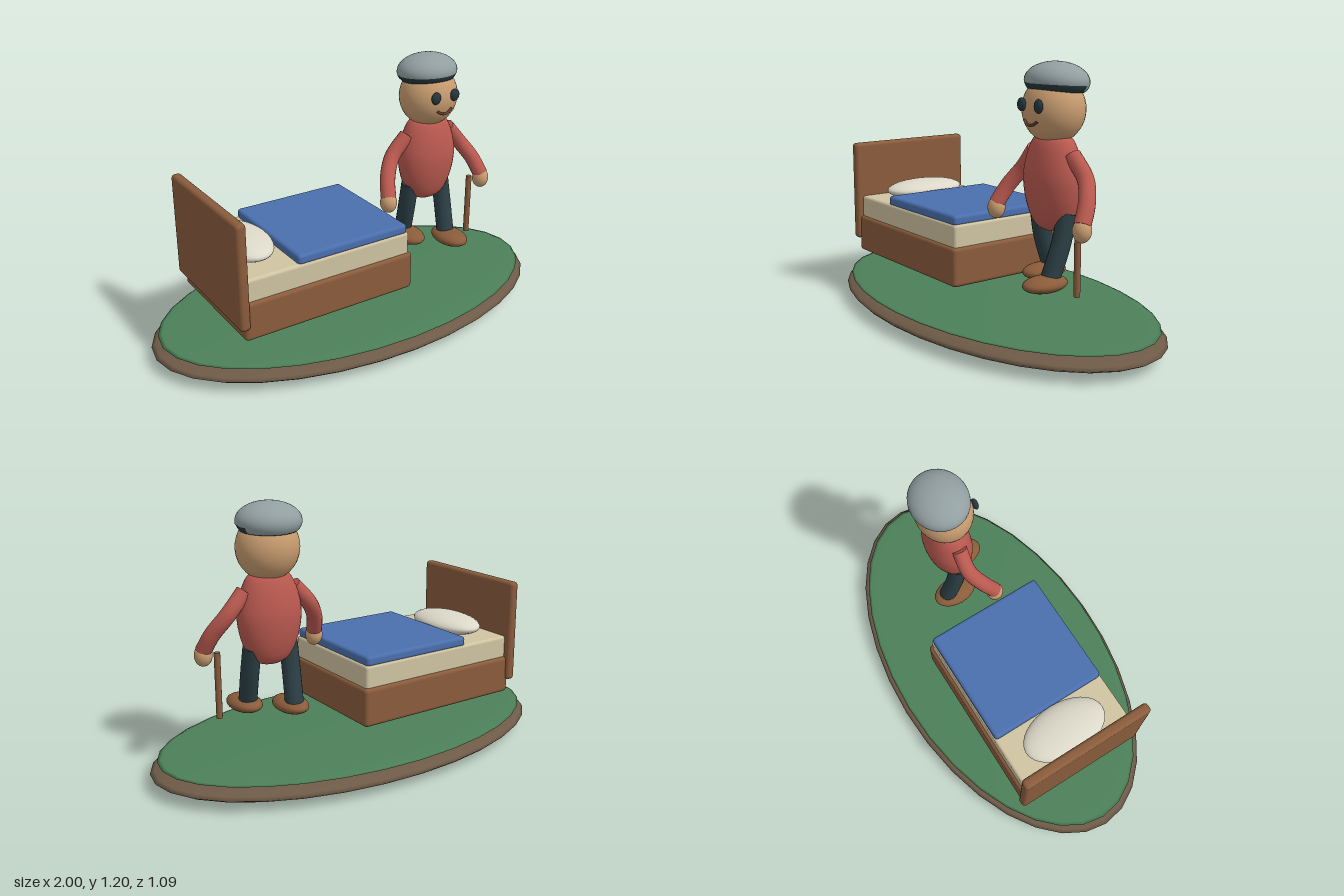
import * as THREE from 'three';
import { RoundedBoxGeometry } from 'three/addons/geometries/RoundedBoxGeometry.js';

const mat = (color, side = THREE.FrontSide) => new THREE.MeshStandardMaterial({ color, side });
const WOOD = mat(0x8a5c3c), SKIN = mat(0xc99d70), SHIRT = mat(0xbb5a50), TROUSERS = mat(0x2b3f45);
const DARK = mat(0x26373d), HAIR = mat(0x929fa1, THREE.DoubleSide), BAND = mat(0x26373d, THREE.DoubleSide);
const SHOE = mat(0x8a5c3a);

function add(parent, name, geometry, material, position = [0, 0, 0]) {
  const mesh = new THREE.Mesh(geometry, material);
  mesh.name = name;
  mesh.position.set(...position);
  parent.add(mesh);
  return mesh;
}

// Sphere stretched to three radii
function ellipsoid(parent, name, radii, position, material, w = 32, h = 20) {
  return add(parent, name, new THREE.SphereGeometry(1, w, h).scale(...radii), material, position);
}

// Rounded box given by its lower and upper corners
function block(parent, name, min, max, radius, material) {
  const size = max.map((v, i) => v - min[i]);
  const centre = max.map((v, i) => (v + min[i]) / 2);
  return add(parent, name, new RoundedBoxGeometry(...size, 3, radius), material, centre);
}

// Round limb along a smooth path, closed at both ends
function limb(parent, name, points, radius, material) {
  const group = new THREE.Group();
  group.name = name;
  const curve = new THREE.CatmullRomCurve3(points.map((p) => new THREE.Vector3(...p)));
  add(group, name + 'Tube', new THREE.TubeGeometry(curve, 20, radius, 16), material);
  for (const t of [0, 1]) {
    const end = curve.getPoint(t);
    const cap = add(group, name + 'End', new THREE.CircleGeometry(radius, 16), material, end.toArray());
    cap.lookAt(end.clone().addScaledVector(curve.getTangent(t), t ? 1 : -1));
  }
  parent.add(group);
}

function createGround() {
  const g = new THREE.Group();
  g.name = 'ground';
  ellipsoid(g, 'earth', [1, 0.057, 0.545], [0, 0.057, 0], mat(0x6e5a47), 32, 16);
  ellipsoid(g, 'grass', [0.967, 0.017, 0.525], [0, 0.107, 0], mat(0x4c8059), 32, 16);
  return g;
}

function createBed() {
  const g = new THREE.Group();
  g.name = 'bed';
  block(g, 'bedBase', [-0.715, 0.208, -0.305], [0.138, 0.387, 0.305], 0.018, WOOD);
  block(g, 'headboard', [-0.743, 0.27, -0.322], [-0.695, 0.757, 0.322], 0.018, WOOD);
  block(g, 'mattress', [-0.705, 0.37, -0.291], [0.125, 0.488, 0.291], 0.014, mat(0xd0c4a2));
  block(g, 'blanket', [-0.447, 0.48, -0.287], [0.118, 0.528, 0.287], 0.016, mat(0x4a6fae));
  ellipsoid(g, 'pillow', [0.124, 0.047, 0.207], [-0.573, 0.518, 0], mat(0xdcd8c9));
  return g;
}

function createHead() {
  const g = new THREE.Group();
  g.name = 'head';
  ellipsoid(g, 'face', [0.142, 0.145, 0.13], [0, 1.005, 0], SKIN);
  for (const s of [-1, 1]) ellipsoid(g, 'eye', [0.025, 0.029, 0.014], [s * 0.054, 1.027, 0.128], DARK, 16, 12);

  // Smile
  const smile = new THREE.QuadraticBezierCurve3(
    new THREE.Vector3(-0.042, 0.964, 0.122), new THREE.Vector3(0, 0.925, 0.135), new THREE.Vector3(0.042, 0.964, 0.122));
  add(g, 'mouth', new THREE.TubeGeometry(smile, 16, 0.006, 8), mat(0x6b4030));

  // Domed cap with a dark band below and a longer grey back
  const cap = new THREE.Group();
  cap.name = 'cap';
  cap.position.set(0, 1.12, -0.015);
  cap.rotation.x = -0.06;
  const shell = (name, scale, material, phi0, phi1, t0, t1) => add(cap, name,
    new THREE.SphereGeometry(1, 32, 12, phi0, phi1 - phi0, t0 * Math.PI, (t1 - t0) * Math.PI)
      .scale(0.146 * scale, 0.083 * scale, 0.132 * scale), material);
  shell('capDome', 1, HAIR, 0, Math.PI * 2, 0, 0.55);
  shell('capBack', 1, HAIR, Math.PI + 0.35, Math.PI * 2 - 0.35, 0.5, 0.65);
  shell('capBand', 0.985, BAND, 0, Math.PI * 2, 0.5, 0.67);
  g.add(cap);
  return g;
}

function createPerson() {
  const g = new THREE.Group();
  g.name = 'person';
  g.position.x = 0.436;
  g.add(createHead());

  // Torso, slimmer from front to back
  const profile = [[0, 0.487], [0.055, 0.495], [0.1, 0.53], [0.135, 0.61], [0.15, 0.7],
    [0.143, 0.77], [0.122, 0.84], [0.095, 0.885], [0.06, 0.898], [0, 0.902]];
  const outline = new THREE.SplineCurve(profile.map((p) => new THREE.Vector2(...p))).getPoints(30);
  outline.forEach((p) => { p.x = Math.max(p.x, 0); });
  add(g, 'torso', new THREE.LatheGeometry(outline, 32).scale(1, 1, 0.71), SHIRT);

  for (const s of [-1, 1]) {
    limb(g, 'arm', [[s * 0.12, 0.825, 0], [s * 0.2, 0.735, -0.002],
      [s * 0.255, 0.65, 0.04], [s * 0.28, 0.57, 0.085]], 0.036, SHIRT);
    ellipsoid(g, 'hand', [0.04, 0.05, 0.04], [s * 0.28, 0.55, 0.086], SKIN, 20, 14);

    // Walking stance: left foot forward, right foot back
    const ankle = s > 0 ? 0.078 : -0.068;
    limb(g, 'leg', [[s * 0.09, 0.575, -0.002], [s * 0.09, 0.45, ankle * 0.35],
      [s * 0.078, 0.295, ankle]], 0.042, TROUSERS);
    ellipsoid(g, 'shoe', [0.072, 0.036, 0.11], [s * 0.081, 0.287, s > 0 ? 0.105 : -0.027], SHOE, 24, 14);
  }
  add(g, 'walkingStick', new THREE.CylinderGeometry(0.014, 0.014, 0.3, 16), WOOD, [0.228, 0.41, 0.06]);
  return g;
}

export function createModel() {
  const model = new THREE.Group();
  model.name = 'bedsideScene';
  model.add(createGround(), createBed(), createPerson());
  return model;
}
